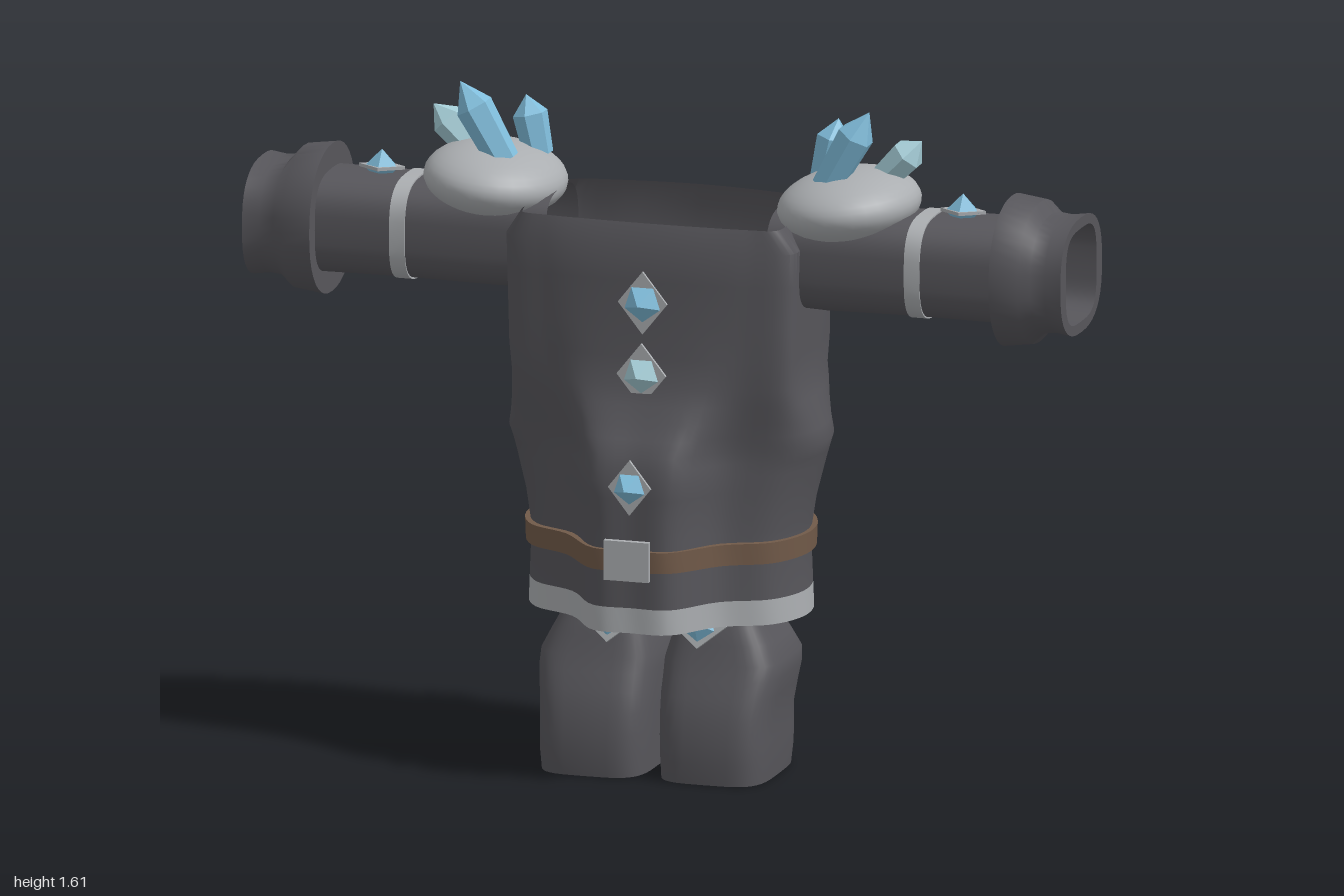
import * as THREE from 'three';
import { toCreasedNormals } from 'three/addons/utils/BufferGeometryUtils.js';

const mat = (name, color, extra = {}) => {
  const m = new THREE.MeshStandardMaterial({ color, ...extra });
  m.name = name;
  return m;
};

export function createModel() {
  const root = new THREE.Group();
  root.name = 'armor';
  const D = { side: THREE.DoubleSide };
  const cloth = mat('charcoal', 0x57565b, D);
  const trim = mat('light grey', 0xabaeb1, D);
  const leather = mat('brown leather', 0x715a49, D);
  const blue = mat('blue crystal', 0x80bddb, { flatShading: true });
  const pale = mat('pale crystal', 0xa6ced8, { flatShading: true });

  const add = (name, geo, material, parent = root) => {
    const m = new THREE.Mesh(geo, material);
    m.name = name;
    parent.add(m);
    return m;
  };

  // Skin a list of closed rings that all have the same point count
  const loft = (rings, crease = 0) => {
    const n = rings[0].length, index = [];
    for (let r = 0; r < rings.length - 1; r++)
      for (let i = 0; i < n; i++) {
        const a = r * n + i, b = r * n + (i + 1) % n;
        index.push(a, b, a + n, b, b + n, a + n);
      }
    const g = new THREE.BufferGeometry().setFromPoints(rings.flat());
    g.setIndex(index);
    g.computeVertexNormals();
    return crease ? toCreasedNormals(g, crease) : g;
  };

  // Rounded-square outline as [u, v] pairs
  const squircle = (ru, rv, p, n = 40) => Array.from({ length: n }, (_, i) => {
    const t = i / n * Math.PI * 2, c = Math.cos(t), s = Math.sin(t);
    return [ru * Math.sign(c) * Math.abs(c) ** (2 / p), rv * Math.sign(s) * Math.abs(s) ** (2 / p)];
  });

  // Torso profile: y, half width, front z, width of front bulge, back z
  const profile = [
    [0.38, 0.335, 0.27, 0.09, -0.30],
    [0.56, 0.328, 0.268, 0.09, -0.295],
    [0.65, 0.342, 0.268, 0.09, -0.302],
    [0.74, 0.365, 0.268, 0.10, -0.312],
    [0.80, 0.382, 0.255, 0.10, -0.32],
    [0.87, 0.365, 0.215, 0.12, -0.297],
    [0.95, 0.346, 0.182, 0.14, -0.275],
    [1.10, 0.35, 0.172, 0.15, -0.268],
    [1.28, 0.355, 0.17, 0.16, -0.272],
    [1.335, 0.32, 0.15, 0.16, -0.25],
  ];
  // Outline at a height: boxy at the chest, oval at the skirt
  const section = (y, off = 0) => {
    let k = 0;
    while (k < profile.length - 2 && y > profile[k + 1][0]) k++;
    const A = profile[k], B = profile[k + 1], t = (y - A[0]) / (B[0] - A[0]);
    const [, w, f, n, b] = A.map((v, i) => v + (B[i] - v) * t);
    const hw = w + off, zf = f + off, zb = b - off;
    const nose = [n, zf - 0.004];
    const boxy = [nose, [n + 0.09, Math.min(0.155, zf - 0.01)], [hw - 0.01, 0.128],
      [hw, 0.05], [hw, -0.13], [hw - 0.025, zb + 0.045], [0.18, zb + 0.016]];
    const oval = [nose, [n + 0.09 + off, 0.15 + off], [hw * 0.86, 0.09 + off],
      [hw, -0.01], [hw * 0.965, zb * 0.42], [hw * 0.8, zb * 0.74], [hw * 0.45, zb * 0.945]];
    const round = THREE.MathUtils.smoothstep(1.0 - y, 0, 0.24);
    const half = boxy.map(([x, z], i) => [x + (oval[i][0] - x) * round, z + (oval[i][1] - z) * round]);
    const pts = [[0, zf], ...half, [0, zb], ...half.slice().reverse().map(([x, z]) => [-x, z])];
    const curve = new THREE.CatmullRomCurve3(pts.map(([x, z]) => new THREE.Vector3(x, y, z)), true);
    return Array.from({ length: 80 }, (_, i) => curve.getPoint(i / 80));
  };

  // Torso, hem and belt
  add('torso', loft([0.44, 0.56, 0.6, 0.65, 0.7, 0.74, 0.77, 0.8, 0.835, 0.87, 0.91, 0.95, 1.02, 1.1, 1.2, 1.28, 1.335]
    .map(y => section(y)), 0.6), cloth);
  add('hem', loft([section(0.38), section(0.44)]), trim);
  add('belt', loft([section(0.53, 0), section(0.53, 0.012), section(0.58, 0.012), section(0.58, 0)], 0.6), leather);
  add('buckle', new THREE.BoxGeometry(0.11, 0.095, 0.015), trim).position.set(0, 0.56, 0.297);

  // Pelvis floor with two leg holes
  const legTop = 0.47;
  const floor = new THREE.Shape(section(legTop, -0.003).map(p => new THREE.Vector2(p.x, p.z)));
  for (const s of [-1, 1])
    floor.holes.push(new THREE.Path(squircle(0.085, 0.098, 7).map(([u, v]) =>
      new THREE.Vector2(s * 0.122 + u, v - 0.055))));
  add('pelvis', new THREE.ShapeGeometry(floor).rotateX(Math.PI / 2).translate(0, legTop, 0), cloth);

  // Faceted stud on a thin diamond plate, facing local +z; sizes are [half width, half height]
  const stud = (name, pos, plateSize, gemSize, depth, material, tilt = 0) => {
    const g = new THREE.Group();
    g.name = name;
    const plate = new THREE.CylinderGeometry(1, 1, 0.008, 4).rotateX(Math.PI / 2).scale(...plateSize, 1);
    add('studPlate', toCreasedNormals(plate, 0.3), trim, g);
    const gem = new THREE.SphereGeometry(1, 5, 2).rotateX(Math.PI / 2).rotateZ(Math.PI / 2);
    add('studGem', gem.scale(...gemSize, depth), material, g);
    g.position.set(...pos);
    g.rotation.x = tilt;
    root.add(g);
  };
  stud('upperStud', [0, 1.15, 0.174], [0.06, 0.075], [0.05, 0.05], 0.044, blue);
  stud('middleStud', [0, 0.98, 0.184], [0.06, 0.075], [0.048, 0.048], 0.044, pale);
  stud('lowerStud', [0, 0.73, 0.275], [0.052, 0.066], [0.043, 0.043], 0.045, blue);

  // Six-sided crystal between two points
  const crystal = (from, to, r, material) => {
    const a = new THREE.Vector3(...from), d = new THREE.Vector3(...to).sub(a), L = d.length();
    const prof = [[0, 0], [r * 0.85, 0], [r, L * 0.68], [0, L]].map(p => new THREE.Vector2(...p));
    const m = add('shoulderCrystal', new THREE.LatheGeometry(prof, 6), material);
    m.position.copy(a);
    m.quaternion.setFromUnitVectors(new THREE.Vector3(0, 1, 0), d.normalize());
  };

  for (const s of [-1, 1]) {
    const side = s > 0 ? 'left' : 'right';

    // Arm rings: x, y radius, z radius, squareness
    const arm = rows => rows.map(([x, ry, rz, p]) =>
      squircle(rz, ry, p).map(([u, v]) => new THREE.Vector3(s * x, 1.24 + v, u - 0.05)));
    add(side + 'Sleeve', loft(arm([[0.27, 0.115, 0.13, 3], [0.4, 0.12, 0.136, 3], [0.62, 0.117, 0.135, 3],
      [0.85, 0.119, 0.135, 3]])), cloth);
    add(side + 'SleeveBand', loft(arm([[0.61, 0.116, 0.134, 3], [0.61, 0.121, 0.138, 3],
      [0.648, 0.121, 0.138, 3], [0.648, 0.116, 0.134, 3]]), 0.6), trim);
    add(side + 'Cuff', loft(arm([[0.83, 0.118, 0.134, 3], [0.83, 0.177, 0.178, 2.2], [0.9, 0.167, 0.176, 2.2],
      [0.925, 0.138, 0.16, 2.4], [0.96, 0.133, 0.155, 2.5], [1.0, 0.138, 0.16, 2.6],
      [1.0, 0.112, 0.118, 3.5], [0.84, 0.105, 0.112, 4]]), 0.7), cloth);
    stud(side + 'ArmStud', [s * 0.71, 1.37, -0.055], [0.056, 0.036], [0.043, 0.032], 0.042, blue, -Math.PI / 2);

    // Shoulder cap with crystal cluster
    const cap = add(side + 'ShoulderCap', new THREE.SphereGeometry(1, 32, 20), trim);
    cap.scale.set(0.167, 0.084, 0.193);
    cap.position.set(s * 0.432, 1.367, -0.055);
    cap.rotation.z = s * 0.1;
    crystal([s * 0.395, 1.42, 0.0], [s * 0.5, 1.605, 0.005], 0.045, blue);
    crystal([s * 0.49, 1.41, -0.1], [s * 0.597, 1.52, -0.095], 0.042, pale);
    crystal([s * 0.35, 1.41, -0.125], [s * 0.382, 1.55, -0.13], 0.042, blue);

    // Leg rings: y, inner x, outer x, back z, front z
    const leg = (rows, p) => rows.map(([y, xi, xo, zb, zf]) =>
      squircle((xo - xi) / 2, (zf - zb) / 2, p).map(([u, v]) =>
        new THREE.Vector3(s * ((xi + xo) / 2 + u), y, (zb + zf) / 2 + v)));
    add(side + 'Leg', loft(leg([[0, 0.03, 0.26, -0.16, 0.145], [0, 0.016, 0.276, -0.175, 0.16],
      [0.05, 0.014, 0.28, -0.184, 0.165], [0.1, 0.012, 0.281, -0.185, 0.162], [0.15, 0.011, 0.282, -0.18, 0.155],
      [0.2, 0.009, 0.288, -0.193, 0.14], [0.24, 0.009, 0.294, -0.202, 0.122], [0.275, 0.009, 0.293, -0.202, 0.108],
      [0.32, 0.022, 0.27, -0.182, 0.092], [0.36, 0.034, 0.248, -0.162, 0.08], [0.4, 0.037, 0.23, -0.154, 0.06],
      [legTop, 0.037, 0.207, -0.153, 0.043]], 4), 0.9), cloth);
    stud(side + 'LegStud', [s * 0.11, 0.365, 0.088], [0.068, 0.056], [0.046, 0.044], 0.04, blue, -0.3);
  }
  return root;
}
